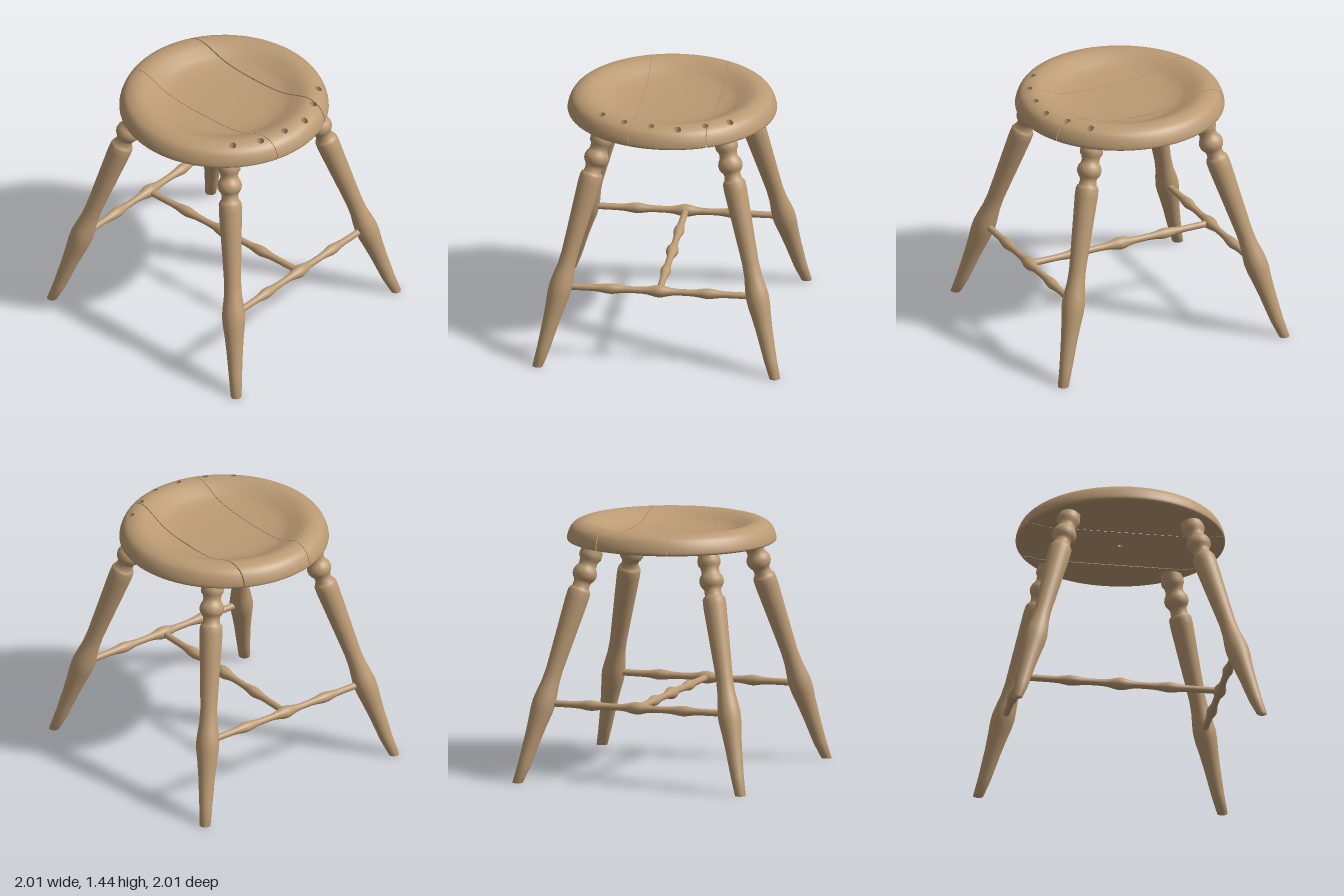
import * as THREE from 'three';
import { mergeGeometries } from 'three/addons/utils/BufferGeometryUtils.js';

const wood = new THREE.MeshStandardMaterial({ color: 0xbc9b74 });
wood.name = 'wood';

const V2 = (p) => new THREE.Vector2(p[0], p[1]);
const smooth = (pts, n) => new THREE.SplineCurve(pts.map(V2)).getPoints(n);

// Seat section, from the underside centre round the rim into the dish
const underside = [[0, 1.31], [0.498, 1.312], [0.502, 1.313], [0.537, 1.325], [0.541, 1.326], [0.575, 1.326]].map(V2);
const upper = smooth([[0.582, 1.326], [0.595, 1.337], [0.587, 1.375], [0.565, 1.413], [0.53, 1.434], [0.49, 1.441],
  [0.45, 1.433], [0.40, 1.411], [0.34, 1.384], [0.25, 1.367], [0.12, 1.36], [0, 1.36]], 44);
upper[upper.length - 1].x = 0;
const section = [...underside, ...upper];

function seatHeight(r) {
  for (let i = 1; i < upper.length; i++) {
    const a = upper[i - 1], b = upper[i];
    if (a.y > 1.36 && a.x >= r && b.x <= r) return a.y + (b.y - a.y) * (a.x - r) / (a.x - b.x);
  }
  return 1.36;
}

// Keeps the part of a polygon where f >= 0
function clip(poly, f) {
  const out = [];
  poly.forEach((a, i) => {
    const b = poly[(i + 1) % poly.length], fa = f(a), fb = f(b);
    if (fa >= 0) out.push(a);
    if ((fa >= 0) !== (fb >= 0)) out.push(a.map((v, k) => v + (b[k] - v) * fa / (fa - fb)));
  });
  return out;
}

// Sockets along the front rim, and one in the middle of the underside
const SIDES = 12;
const holes = [[0.535, 0], [0.5, 0.15], [0.44, 0.3], [0.32, 0.4], [0.18, 0.485], [0.02, 0.52]]
  .map(([x, z]) => ({ x, z, r: 0.021, up: true }));
holes.push({ x: 0, z: 0, r: 0.016, up: false });

function cutHole(polys, h) {
  const done = [];
  for (let poly of polys) {
    const near = poly.some((v) => Math.hypot(v[0] - h.x, v[2] - h.z) < 0.8);
    if (!near || (poly[0][4] + poly[1][4] + poly[2][4] > 0) !== h.up) { done.push(poly); continue; }
    const pieces = [];
    const whole = poly;
    for (let k = 0; k < SIDES && poly.length > 2; k++) {
      const a = (k + 0.5) * 2 * Math.PI / SIDES;
      const f = (v) => (v[0] - h.x) * Math.cos(a) + (v[2] - h.z) * Math.sin(a) - h.r * Math.cos(Math.PI / SIDES);
      pieces.push(clip(poly, f));
      poly = clip(poly, (v) => -f(v));
    }
    if (poly.length > 2) done.push(...pieces.filter((p) => p.length > 2));
    else done.push(whole);
  }
  return done;
}

// Distance across the boards, which run diagonally
const across = (v) => (v[0] - v[2]) * Math.SQRT1_2;

// End-to-end face of a board at a seam
function seamWall(d, side) {
  const pts = section.filter((p) => p.x > Math.abs(d) + 0.001)
    .map((p) => new THREE.Vector2(Math.sqrt(p.x * p.x - d * d), p.y));
  const mirrored = pts.map((p) => new THREE.Vector2(-p.x, p.y)).reverse();
  const g = new THREE.ShapeGeometry(new THREE.Shape([...pts, ...mirrored]));
  g.translate(0, 0, d * side).rotateY(side > 0 ? Math.PI * 0.75 : -Math.PI / 4);
  g.deleteAttribute('uv');
  return g.toNonIndexed();
}

function boardGeometry(lo, hi) {
  const lathe = new THREE.LatheGeometry(section, 72).toNonIndexed();
  const p = lathe.attributes.position, n = lathe.attributes.normal;
  const pos = [], nor = [];
  for (let i = 0; i < p.count; i += 3) {
    let tri = [0, 1, 2].map((k) => [p.getX(i + k), p.getY(i + k), p.getZ(i + k), n.getX(i + k), n.getY(i + k), n.getZ(i + k)]);
    tri = clip(clip(tri, (v) => across(v) - lo), (v) => hi - across(v));
    if (tri.length < 3) continue;
    let polys = [tri];
    for (const h of holes) polys = cutHole(polys, h);
    for (const q of polys) {
      for (let k = 1; k < q.length - 1; k++) {
        for (const v of [q[0], q[k], q[k + 1]]) {
          pos.push(v[0], v[1], v[2]);
          nor.push(v[3], v[4], v[5]);
        }
      }
    }
  }
  const g = new THREE.BufferGeometry();
  g.setAttribute('position', new THREE.Float32BufferAttribute(pos, 3));
  g.setAttribute('normal', new THREE.Float32BufferAttribute(nor, 3));
  const parts = [g];
  if (lo > -1) parts.push(seamWall(lo, -1));
  if (hi < 1) parts.push(seamWall(hi, 1));
  return mergeGeometries(parts);
}

// Inner wall and floor of a socket
function socketGeometry(h) {
  const top = seatHeight(Math.hypot(h.x, h.z));
  const pts = h.up ? [[h.r, 2], [h.r, top - 0.06], [0, top - 0.06]] : [[0, 1.345], [h.r, 1.345], [h.r, 1.31]];
  const g = new THREE.LatheGeometry(pts.map(V2), SIDES).translate(h.x, 0, h.z);
  const p = g.attributes.position;
  for (let i = 0; i < p.count; i++) {
    if (p.getY(i) > 1.9) p.setY(i, seatHeight(Math.hypot(p.getX(i), p.getZ(i))));
  }
  return g;
}

// Turned part between two points; profile is [distance 0..1, radius]
function turned(a, b, profile, segments) {
  const dir = b.clone().sub(a), len = dir.length();
  const g = new THREE.LatheGeometry(profile.map(([t, r]) => new THREE.Vector2(r, t * len)), segments);
  g.applyQuaternion(new THREE.Quaternion().setFromUnitVectors(new THREE.Vector3(0, 1, 0), dir.normalize()));
  return g.translate(a.x, a.y, a.z);
}

// Leg outline as [height, radius]
const legOutline = [[-0.02, 0], [-0.02, 0.031], [0.1, 0.037], [0.25, 0.047], [0.34, 0.056], [0.4, 0.064], [0.45, 0.066],
  [0.5, 0.06], [0.56, 0.051], [0.63, 0.048], [0.75, 0.053], [0.9, 0.06], [1.03, 0.066], [1.07, 0.065], [1.085, 0.058],
  [1.09, 0.05], [1.115, 0.047], [1.13, 0.051], [1.14, 0.06], [1.155, 0.068], [1.175, 0.07], [1.195, 0.064], [1.208, 0.054],
  [1.225, 0.05], [1.245, 0.054], [1.258, 0.064], [1.28, 0.066], [1.305, 0.06], [1.34, 0.058]];

function legGeometry(foot, top) {
  const a = foot.clone().lerp(top, -0.02 / 1.34);
  const g = turned(a, top, legOutline.map(([y, r]) => [(y + 0.02) / 1.36, r]), 28);
  const p = g.attributes.position;
  for (let i = 0; i < p.count; i++) p.setY(i, Math.max(0, p.getY(i))); // level foot
  return g;
}

// Stretcher with three swellings
const stretcherOutline = [];
for (let i = 0; i <= 60; i++) {
  const t = i / 60;
  const bump = (c, w, h) => h * Math.exp(-(((t - c) / w) ** 2));
  stretcherOutline.push([t, 0.019 + bump(0.5, 0.05, 0.017) + bump(0.25, 0.05, 0.011) + bump(0.75, 0.05, 0.011)]);
}

export function createModel() {
  const model = new THREE.Group();
  model.name = 'stool';
  const add = (name, geometry) => {
    const mesh = new THREE.Mesh(geometry, wood);
    mesh.name = name;
    model.add(mesh);
  };

  // Seat of three boards with narrow gaps
  add('seatBoardRight', boardGeometry(0.265, 2));
  add('seatBoardMiddle', boardGeometry(-0.175, 0.259));
  add('seatBoardLeft', boardGeometry(-2, -0.178));
  holes.forEach((h) => add(h.up ? 'rimSocket' : 'undersideSocket', socketGeometry(h)));

  // Four splayed legs
  const legs = {
    leftLeg: [0.968, 0.015], frontLeg: [0.015, 0.968], rightLeg: [-0.968, -0.022], backLeg: [-0.022, -0.968],
  };
  for (const [name, [x, z]] of Object.entries(legs)) {
    const top = new THREE.Vector3(Math.round(x) * 0.483, 1.34, Math.round(z) * 0.483);
    add(name, legGeometry(new THREE.Vector3(x, 0, z), top));
  }

  // Two side stretchers and the one joining them
  const at = (x, z) => new THREE.Vector3(x, 0.445, z);
  add('frontStretcher', turned(at(0.8, 0.01), at(0.01, 0.8), stretcherOutline, 20));
  add('backStretcher', turned(at(-0.8, -0.01), at(-0.01, -0.8), stretcherOutline, 20));
  add('middleStretcher', turned(at(-0.4, -0.4), at(0.4, 0.4), stretcherOutline, 20));
  return model;
}
